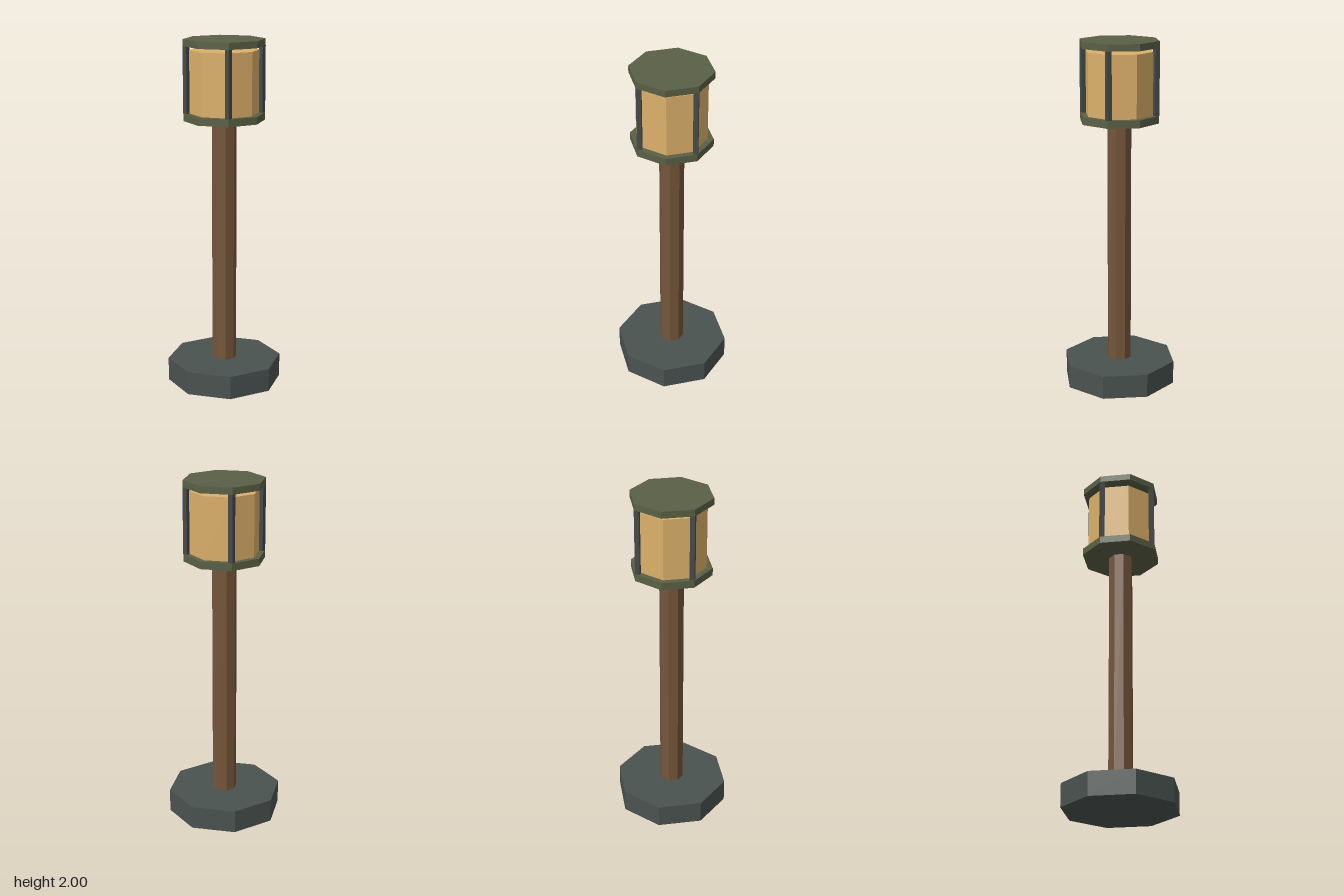
import * as THREE from 'three';

const material = (color) => new THREE.MeshStandardMaterial({ color, flatShading: true });

export function createModel() {
  const model = new THREE.Group();
  const stone = material(0x4a5250);
  const wood = material(0x75563a);
  const metal = material(0x5a6045);
  const iron = material(0x454b4a);
  const glass = material(0xdcb06a);

  // Upright octagonal prism between two heights, with a corner facing front
  function octagon(name, radius, bottom, top, mat) {
    const mesh = new THREE.Mesh(new THREE.CylinderGeometry(radius, radius, top - bottom, 8), mat);
    mesh.name = name;
    mesh.position.y = (bottom + top) / 2;
    model.add(mesh);
  }

  octagon('base', 0.33, 0, 0.135, stone);
  octagon('post', 0.07, 0.135, 1.545, wood);
  octagon('lanternFloor', 0.23, 1.545, 1.587, metal);
  octagon('lanternGlass', 0.196, 1.587, 1.94, glass);
  octagon('lanternRoof', 0.23, 1.962, 2, metal);

  // Four square bars hold the roof above the glass
  const barGeometry = new THREE.BoxGeometry(0.027, 0.375, 0.027);
  for (const x of [-0.15, 0.15]) {
    for (const z of [-0.15, 0.15]) {
      const bar = new THREE.Mesh(barGeometry, iron);
      bar.name = `${z > 0 ? 'front' : 'back'}${x > 0 ? 'Left' : 'Right'}Bar`;
      bar.position.set(x, 1.7745, z);
      model.add(bar);
    }
  }

  return model;
}
